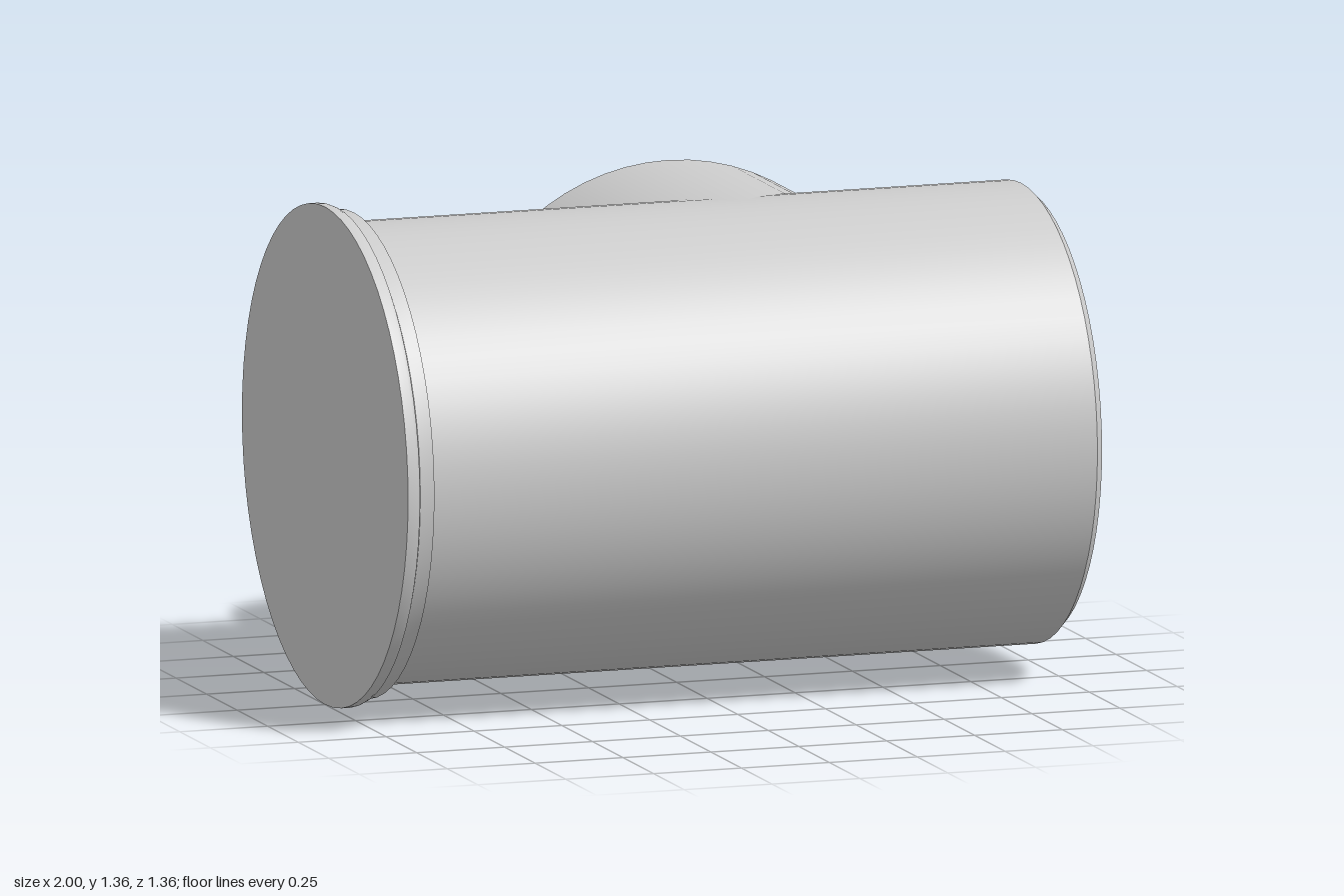
import * as THREE from 'three';
import { toCreasedNormals } from 'three/addons/utils/BufferGeometryUtils.js';

const R = 0.625;       // pipe radius
const AXIS_Y = 0.68;   // height of the pipe axis
const SEGMENTS = 64;

export function createModel() {
  const model = new THREE.Group();
  model.name = 'teeFitting';
  const material = new THREE.MeshStandardMaterial({ color: 0xcccccc });

  function add(name, geometry, parent) {
    const mesh = new THREE.Mesh(geometry, material);
    mesh.name = name;
    parent.add(mesh);
    return mesh;
  }

  // Main pipe: stepped collar at one end, chamfer at the other; [radius, x]
  const profile = [
    [0, -1], [0.68, -1], [0.68, -0.975], [0.676, -0.965], [0.66, -0.958],
    [0.66, -0.918], [R, -0.918], [R, 0.98], [0.605, 1], [0, 1],
  ].map(([r, x]) => new THREE.Vector2(r, x));
  const pipe = new THREE.LatheGeometry(profile, SEGMENTS);
  pipe.rotateZ(-Math.PI / 2);
  add('mainPipe', toCreasedNormals(pipe, 0.5), model).position.y = AXIS_Y;

  // Side branch, pointing backwards
  const branch = new THREE.Group();
  branch.name = 'sideBranch';
  branch.position.set(0.195, AXIS_Y, 0);
  model.add(branch);

  // Branch wall: the inner rim follows the saddle where the two pipes meet
  const end = -0.63;
  const wall = new THREE.CylinderGeometry(R, R, -end, SEGMENTS, 1, true);
  wall.rotateX(-Math.PI / 2);
  wall.translate(0, 0, end / 2);
  const pos = wall.attributes.position;
  for (let i = 0; i < pos.count; i++) {
    if (pos.getZ(i) > end / 2) pos.setZ(i, -Math.max(0, Math.abs(pos.getX(i)) - 0.02));
  }
  add('branchWall', wall, branch);

  // Flat cap closing the branch
  const cap = new THREE.CircleGeometry(R, SEGMENTS);
  cap.rotateY(Math.PI);
  add('branchCap', cap, branch).position.z = end;

  return model;
}
